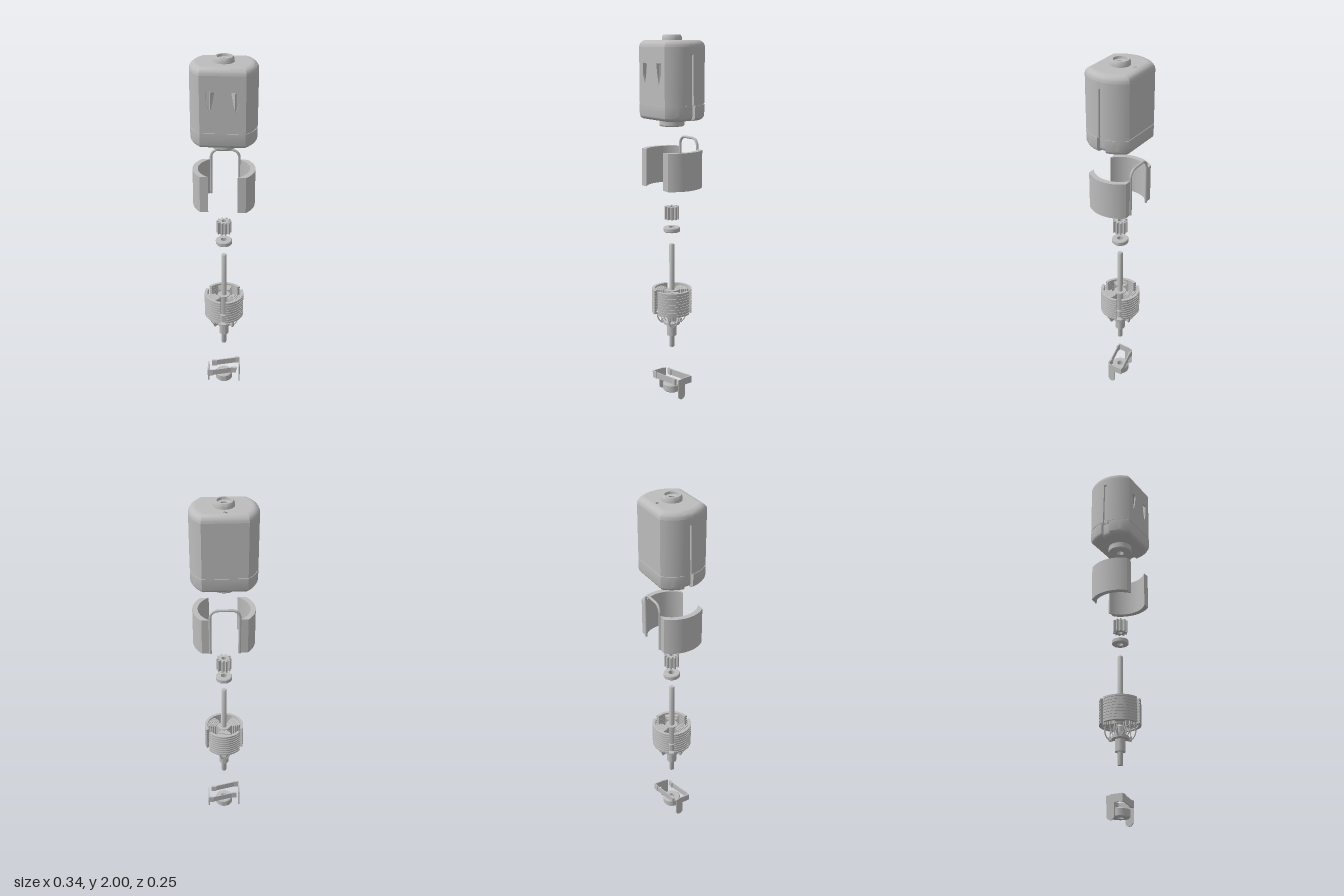
import * as THREE from 'three';
import { toCreasedNormals } from 'three/addons/utils/BufferGeometryUtils.js';

const grey = new THREE.MeshStandardMaterial({ color: 0xbcbcbc, side: THREE.DoubleSide });
grey.name = 'grey metal';

function add(parent, name, geo, x = 0, y = 0, z = 0) {
  const m = new THREE.Mesh(geo, grey);
  m.name = name;
  m.position.set(x, y, z);
  parent.add(m);
  return m;
}
function sub(parent, name) {
  const g = new THREE.Group();
  g.name = name;
  parent.add(g);
  return g;
}
// plan shape raised along y
function slab(shape, h, curveSegments = 24) {
  const g = new THREE.ExtrudeGeometry(shape, { depth: h, bevelEnabled: false, curveSegments });
  return toCreasedNormals(g.rotateX(-Math.PI / 2), 0.5);
}
// turned part, profile as [radius, y] pairs
function turned(profile, segments = 32) {
  return toCreasedNormals(new THREE.LatheGeometry(profile.map(p => new THREE.Vector2(...p)), segments), 0.6);
}
function tube(points, r, segs = 24) {
  const curve = new THREE.CatmullRomCurve3(points.map(p => new THREE.Vector3(...p)));
  return new THREE.TubeGeometry(curve, segs, r, 8);
}
// plan shape of a curved band around +x
function arcBand(ro, ri, ao, ai) {
  const s = new THREE.Shape();
  s.absarc(0, 0, ro, -ao, ao, false);
  s.absarc(0, 0, ri, ai, -ai, true);
  s.closePath();
  return s;
}
function hole(x, y, r) {
  return new THREE.Path().absarc(x, y, r, 0, Math.PI * 2, true);
}

// plan outline: round ends with flat front and back, and a notch at each end
function outline(inset, notchHalf, notchDepth) {
  const R = 0.17 - inset, a = Math.asin((0.127 - inset) / R), n = Math.asin(notchHalf / R);
  const right = [];
  for (let i = 0; i <= 8; i++) right.push([R, a + (n - a) * i / 8]);
  right.push([R - notchDepth, n], [R - notchDepth, 0]);
  const half = right.map(([r, t]) => [r * Math.cos(t), r * Math.sin(t)]);
  half.push(...half.slice(0, -1).reverse().map(([x, z]) => [x, -z]));
  return [...half, ...half.map(([x, z]) => [-x, z]).reverse()];
}
// wall through levels of [y, inset, notchHalf, notchDepth]
function wall(levels, closed) {
  const rings = levels.map(([y, ...o]) => outline(...o).map(([x, z]) => [x, y, z]));
  const pos = [], n = rings[0].length;
  for (let l = 0; l < rings.length - 1; l++) {
    for (let i = 0; i < (closed ? n : n - 1); i++) {
      const j = (i + 1) % n, A = rings[l], B = rings[l + 1];
      pos.push(...A[i], ...A[j], ...B[j], ...A[i], ...B[j], ...B[i]);
    }
  }
  const g = new THREE.BufferGeometry();
  g.setAttribute('position', new THREE.Float32BufferAttribute(pos, 3));
  g.computeVertexNormals();
  return toCreasedNormals(g, 0.6);
}
function lid(inset, notchHalf, notchDepth, holes) {
  const s = new THREE.Shape(outline(inset, notchHalf, notchDepth).map(([x, z]) => new THREE.Vector2(x, -z)));
  s.holes.push(...holes);
  return new THREE.ShapeGeometry(s, 24).rotateX(-Math.PI / 2);
}

function buildHousing(root) {
  const g = sub(root, 'housing');
  add(g, 'canWall', wall([[1.655, 0, 0.014, 0.012], [1.9, 0, 0.008, 0.01], [1.905, 0, 0.008, 0], [1.94, 0, 0.008, 0]], false));
  // front panel with two windows
  const w = Math.sqrt(0.17 ** 2 - 0.127 ** 2);
  const p = new THREE.Shape([[-w, 1.655], [w, 1.655], [w, 1.94], [-w, 1.94]].map(q => new THREE.Vector2(...q)));
  for (const s of [-1, 1]) {
    const pts = [[0.04, 1.86], [0.08, 1.86], [0.08, 1.8], [0.062, 1.755], [0.05, 1.8]];
    p.holes.push(new THREE.Path(pts.map(([x, y]) => new THREE.Vector2(s * x, y))));
    const tab = add(g, 'windowTab', new THREE.BoxGeometry(0.006, 0.09, 0.045), s * 0.052, 1.81, 0.1);
    tab.rotation.y = s * 0.5;
  }
  add(g, 'frontPanel', new THREE.ExtrudeGeometry(p, { depth: 0.008, bevelEnabled: false }), 0, 0, 0.119);
  // rounded shoulder
  const shoulder = [], foot = [];
  for (let i = 0; i <= 6; i++) {
    const t = i / 6 * Math.PI / 2, c = 1 - Math.cos(t), s = Math.sin(t);
    shoulder.push([1.94 + 0.034 * s, 0.034 * c, 0.008, 0]);
    foot.unshift([1.597 - 0.027 * s, 0.027 * c, 0.024, 0.02]);
  }
  add(g, 'canShoulder', wall(shoulder, true));
  add(g, 'canTop', lid(0.034, 0.008, 0, [hole(0, 0, 0.03), hole(0, 0.086, 0.013)]), 0, 1.974, 0);
  add(g, 'topBearing', turned([[0.052, 1.972], [0.051, 1.99], [0.045, 2], [0.035, 2], [0.033, 1.988], [0.018, 1.985], [0.018, 1.94]]));
  // end cap
  add(g, 'capWall', wall([...foot, [1.65, 0, 0.024, 0.02]], true));
  add(g, 'capRim', lid(0, 0.024, 0.02, []), 0, 1.65, 0);
  add(g, 'seam', wall([[1.65, 0.003, 0.014, 0.012], [1.655, 0.003, 0.014, 0.012]], true));
  add(g, 'capBottom', lid(0.027, 0.024, 0.02, [hole(0, 0, 0.02)]), 0, 1.57, 0);
  add(g, 'bottomBearing', turned([[0.02, 1.6], [0.02, 1.535], [0.062, 1.535], [0.066, 1.54], [0.066, 1.572]]));
}

function buildMagnets(root) {
  const g = sub(root, 'magnets');
  const band = arcBand(0.163, 0.135, Math.asin(0.112 / 0.163), Math.asin(0.112 / 0.135));
  for (const r of [0, Math.PI]) add(g, 'magnet', slab(band, 0.2), 0, 1.21, 0).rotation.y = r;
  // bent wire spring holding the magnets
  const path = new THREE.CurvePath(), c = [];
  for (let i = 0; i <= 6; i++) {
    const t = i / 6 * Math.PI / 2;
    c.push([0.035 + 0.04 * Math.cos(t), 1.425 + 0.04 * Math.sin(t)]);
  }
  const half = [[0.075, 1.21], ...c];
  const pts = [...half, ...half.map(([x, y]) => [-x, y]).reverse()].map(([x, y]) => new THREE.Vector3(x, y, -0.112));
  for (let i = 1; i < pts.length; i++) path.add(new THREE.LineCurve3(pts[i - 1], pts[i]));
  add(g, 'springClip', new THREE.TubeGeometry(path, 80, 0.007, 8));
}

function buildPinion(root) {
  const s = new THREE.Shape(), teeth = 10;
  for (let i = 0; i < teeth; i++) {
    [[-0.32, 0.027], [-0.17, 0.04], [0.17, 0.04], [0.32, 0.027]].forEach(([o, r], k) => {
      const t = (i + o) / teeth * Math.PI * 2;
      s[i + k ? 'lineTo' : 'moveTo'](r * Math.cos(t), r * Math.sin(t));
    });
  }
  s.closePath();
  s.holes.push(hole(0, 0, 0.013));
  add(root, 'pinion', slab(s, 0.07), 0, 1.03, 0);
  add(root, 'washer', turned([[0.017, 0.96], [0.042, 0.96], [0.045, 0.964], [0.045, 0.981], [0.042, 0.985], [0.017, 0.985], [0.017, 0.96]]));
}

function buildRotor(root) {
  const g = sub(root, 'rotor');
  add(g, 'shaft', turned([[0, 0.29], [0.013, 0.29], [0.0145, 0.295], [0.0145, 0.885], [0.012, 0.89], [0, 0.89]], 24));
  add(g, 'commutator', turned([[0.014, 0.36], [0.027, 0.36], [0.027, 0.425], [0.045, 0.428], [0.045, 0.442], [0.026, 0.446], [0.026, 0.49], [0.015, 0.5]], 24));
  add(g, 'core', new THREE.CylinderGeometry(0.034, 0.034, 0.12, 24), 0, 0.567, 0);
  const shoe = arcBand(0.11, 0.094, 0.92, 0.9), inner = arcBand(0.106, 0.095, 0.91, 0.9);
  for (let k = 0; k < 3; k++) {
    const pole = sub(g, 'pole');
    pole.rotation.y = Math.PI / 2 + k * Math.PI * 2 / 3;
    // laminated shoe on a wound arm
    for (let i = 0; i < 9; i++) add(pole, 'lamination', slab(shoe, 0.0105, 16), 0, 0.5 + i * 0.0156, 0);
    add(pole, 'shoeCore', slab(inner, 0.13, 16), 0, 0.502, 0);
    add(pole, 'arm', new THREE.BoxGeometry(0.075, 0.11, 0.035), 0.062, 0.567, 0);
    for (let i = 0; i < 5; i++) {
      const wide = 0.056 + i * 0.008;
      add(pole, 'winding', new THREE.BoxGeometry(0.0085, 0.118, wide), 0.047 + i * 0.0105, 0.567, 0);
    }
    // lead wires and commutator hook
    for (const s of [-1, 1]) {
      add(pole, 'leadWire', tube([[0.07, 0.505, s * 0.03], [0.077, 0.47, s * 0.026], [0.068, 0.44, s * 0.015], [0.052, 0.428, s * 0.005], [0.03, 0.44, 0]], 0.0035));
      add(pole, 'innerWire', tube([[0.05, 0.51, s * 0.02], [0.045, 0.475, s * 0.016], [0.03, 0.44, s * 0.012]], 0.0035, 12));
    }
    add(pole, 'hook', new THREE.BoxGeometry(0.032, 0.012, 0.018), 0.046, 0.436, 0);
    add(pole, 'hookTip', new THREE.BoxGeometry(0.008, 0.024, 0.018), 0.06, 0.436, 0);
  }
}

function buildBrushes(root) {
  const g = sub(root, 'brushes');
  add(g, 'bearing', turned([[0.018, 0.025], [0.045, 0.025], [0.05, 0.03], [0.05, 0.065], [0.045, 0.07], [0.018, 0.07], [0.018, 0.025]]));
  // terminal outline with a rounded lower end
  const t = new THREE.Shape();
  t.moveTo(-0.022, 0.12);
  t.lineTo(-0.022, 0.022);
  t.absarc(0, 0.022, 0.022, Math.PI, Math.PI * 2, false);
  t.lineTo(0.022, 0.12);
  t.closePath();
  for (const r of [0, Math.PI]) {
    const side = sub(g, 'brush');
    side.rotation.y = r;
    const blade = new THREE.ExtrudeGeometry(t, { depth: 0.007, bevelEnabled: false }).rotateY(Math.PI / 2);
    add(side, 'terminal', blade, -0.095, 0, 0);
    add(side, 'shoulder', new THREE.BoxGeometry(0.007, 0.04, 0.07), -0.0915, 0.104, 0.032);
    add(side, 'bend', new THREE.BoxGeometry(0.032, 0.04, 0.007), -0.079, 0.104, 0.0635);
    // springy arm reaching across the shaft
    const dx = 0.125, dz = -0.033;
    const arm = add(side, 'arm', new THREE.BoxGeometry(Math.hypot(dx, dz), 0.036, 0.006), -0.065 + dx / 2, 0.104, 0.062 + dz / 2);
    arm.rotation.y = Math.atan2(-dz, dx);
    add(side, 'contact', new THREE.BoxGeometry(0.03, 0.036, 0.012), 0.06, 0.104, 0.03);
  }
}

export function createModel() {
  const root = new THREE.Group();
  root.name = 'explodedMotor';
  buildHousing(root);
  buildMagnets(root);
  buildPinion(root);
  buildRotor(root);
  buildBrushes(root);
  return root;
}
